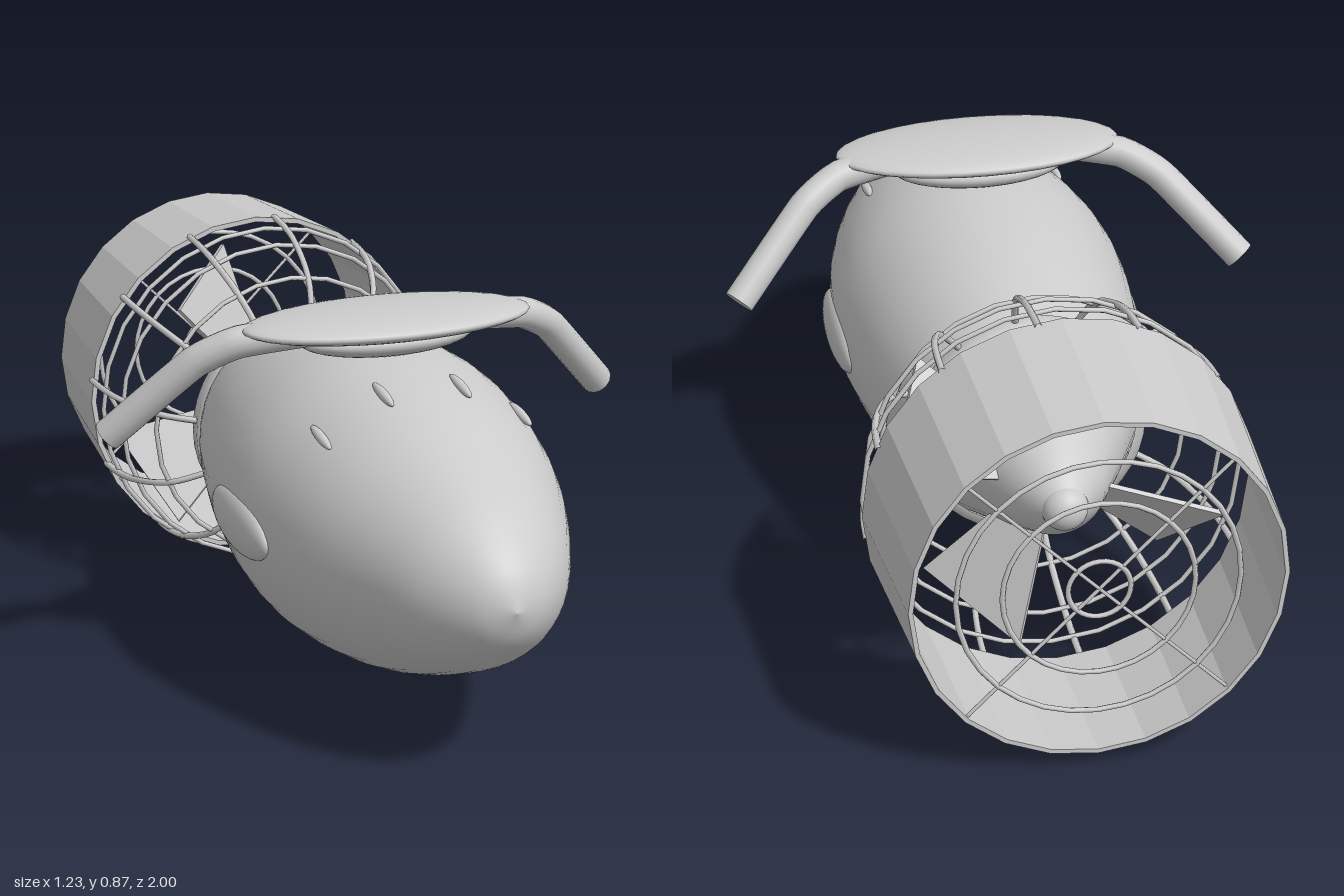
import * as THREE from 'three';

const AXIS = 0.43; // height of the long axis

export function createModel() {
  const root = new THREE.Group();
  const grey = new THREE.MeshStandardMaterial({ color: 0xcccccc });
  const thin = new THREE.MeshStandardMaterial({ color: 0xcccccc, side: THREE.DoubleSide });
  const faceted = new THREE.MeshStandardMaterial({ color: 0xcccccc, side: THREE.DoubleSide, flatShading: true });

  const add = (name, geo, parent = root, mat = grey) => {
    const mesh = new THREE.Mesh(geo, mat);
    mesh.name = name;
    parent.add(mesh);
    return mesh;
  };
  const group = (name, parent = root) => {
    const g = new THREE.Group();
    g.name = name;
    parent.add(g);
    return g;
  };
  // Lathe around z from [z, radius] pairs given rear to front
  const latheZ = (profile, segments) =>
    new THREE.LatheGeometry(profile.map(([z, r]) => new THREE.Vector2(r, z)), segments).rotateX(Math.PI / 2);
  const ellipsoid = (name, parent, pos, size) => {
    const mesh = add(name, new THREE.SphereGeometry(1, 32, 20), parent);
    mesh.position.set(...pos);
    mesh.scale.set(...size);
    return mesh;
  };

  const craft = group('hullAndDrive');
  craft.position.y = AXIS;

  // Streamlined hull, smoothed through a few stations
  const stations = [[-0.29, 0.253], [-0.2, 0.282], [0, 0.326], [0.23, 0.349], [0.42, 0.332], [0.6, 0.288],
    [0.8, 0.206], [0.9, 0.145], [0.97, 0.075], [1, 0]];
  const hullCurve = new THREE.SplineCurve(stations.map(([z, r]) => new THREE.Vector2(z, r)));
  const hullProfile = hullCurve.getPoints(45).map((p) => [p.x, Math.max(p.y, 0)]);
  add('hull', latheZ(hullProfile, 40), craft);
  add('collar', latheZ([[-0.335, 0.235], [-0.33, 0.258], [-0.288, 0.262], [-0.285, 0.25]], 40), craft, thin);
  add('tailCone', latheZ([[-0.67, 0.05], [-0.61, 0.1], [-0.45, 0.18], [-0.29, 0.253]], 40), craft, thin);
  ellipsoid('propellerCap', craft, [0, 0, -0.665], [0.05, 0.05, 0.045]);

  // Propeller: pitched wedge blades, widening to the tip
  const propeller = group('propeller', craft);
  const bladeCount = 4;
  for (let i = 0; i < bladeCount; i++) {
    const geo = new THREE.BoxGeometry(1, 0.29, 0.01, 1, 4, 1);
    const p = geo.attributes.position;
    for (let k = 0; k < p.count; k++) {
      const t = p.getY(k) / 0.29 + 0.5;
      p.setX(k, p.getX(k) * (0.08 + 0.2 * t));
    }
    geo.translate(0, 0.215, 0);
    geo.rotateY(Math.PI / 4);
    const blade = add('propellerBlade', geo, propeller, faceted);
    blade.position.z = -0.52;
    blade.rotation.z = (i / bladeCount) * Math.PI * 2 + 0.5;
  }

  // Tapered thin duct with separate inner and outer walls
  add('duct', latheZ([[-1, 0.384], [-1, 0.394], [-0.615, 0.424], [-0.615, 0.412], [-1, 0.384]], 24), craft, faceted);

  // Front guard cage: hoops and curved ribs
  const cage = group('guardCage', craft);
  for (const [z, r] of [[-0.355, 0.34], [-0.465, 0.392], [-0.55, 0.412]]) {
    add('cageHoop', new THREE.TorusGeometry(r, 0.006, 6, 24), cage).position.z = z;
  }
  const ribCurve = new THREE.CatmullRomCurve3([[0.245, -0.295], [0.335, -0.35], [0.395, -0.465], [0.414, -0.55], [0.42, -0.63]]
    .map(([r, z]) => new THREE.Vector3(r, 0, z)));
  const ribGeo = new THREE.TubeGeometry(ribCurve, 14, 0.008, 6);
  for (let i = 0; i < 12; i++) {
    add('cageRib', ribGeo, cage).rotation.z = THREE.MathUtils.degToRad(-7 + 30 * i);
  }

  // Rear grille: concentric rings on thin spokes
  const grille = group('rearGrille', craft);
  grille.position.z = -0.985;
  for (const r of [0.065, 0.2, 0.295]) {
    add('grilleRing', new THREE.TorusGeometry(r, 0.006, 6, 32), grille);
  }
  for (let i = 0; i < 2; i++) {
    add('grilleSpoke', new THREE.CylinderGeometry(0.004, 0.004, 0.77, 6), grille).rotation.z = Math.PI / 4 + i * Math.PI / 2;
  }

  // Handlebar: flat centre, pylon underneath and two swept grips
  const handle = group('handlebar');
  ellipsoid('handleCentre', handle, [0, 0.844, 0.27], [0.33, 0.033, 0.15]);
  ellipsoid('handlePylon', handle, [0, 0.805, 0.26], [0.2, 0.04, 0.1]);

  for (const s of [1, -1]) {
    const side = s > 0 ? 'left' : 'right';
    const points = [[0.18, 0.836, 0.27], [0.33, 0.815, 0.235], [0.415, 0.768, 0.195], [0.585, 0.59, 0.095]]
      .map(([x, y, z]) => new THREE.Vector3(s * x, y, z));
    const curve = new THREE.CatmullRomCurve3(points, false, 'catmullrom', 0.2);
    add(side + 'Grip', new THREE.TubeGeometry(curve, 24, 0.036, 14), handle);
    const cap = add(side + 'GripEnd', new THREE.CircleGeometry(0.036, 14), handle, thin);
    cap.position.copy(points[3]);
    cap.lookAt(points[3].clone().add(curve.getTangent(1)));

    // Side pod and two slim fairings on the upper nose
    ellipsoid(side + 'Pod', root, [s * 0.333, 0.41, 0.25], [0.034, 0.067, 0.175]);
    for (const [x, y] of [[0.088, 0.742], [0.228, 0.663]]) {
      const fairing = ellipsoid(side + 'NoseFairing', root, [s * x, y, 0.475], [0.011, 0.011, 0.058]);
      fairing.rotation.x = 0.13;
    }
  }
  return root;
}
